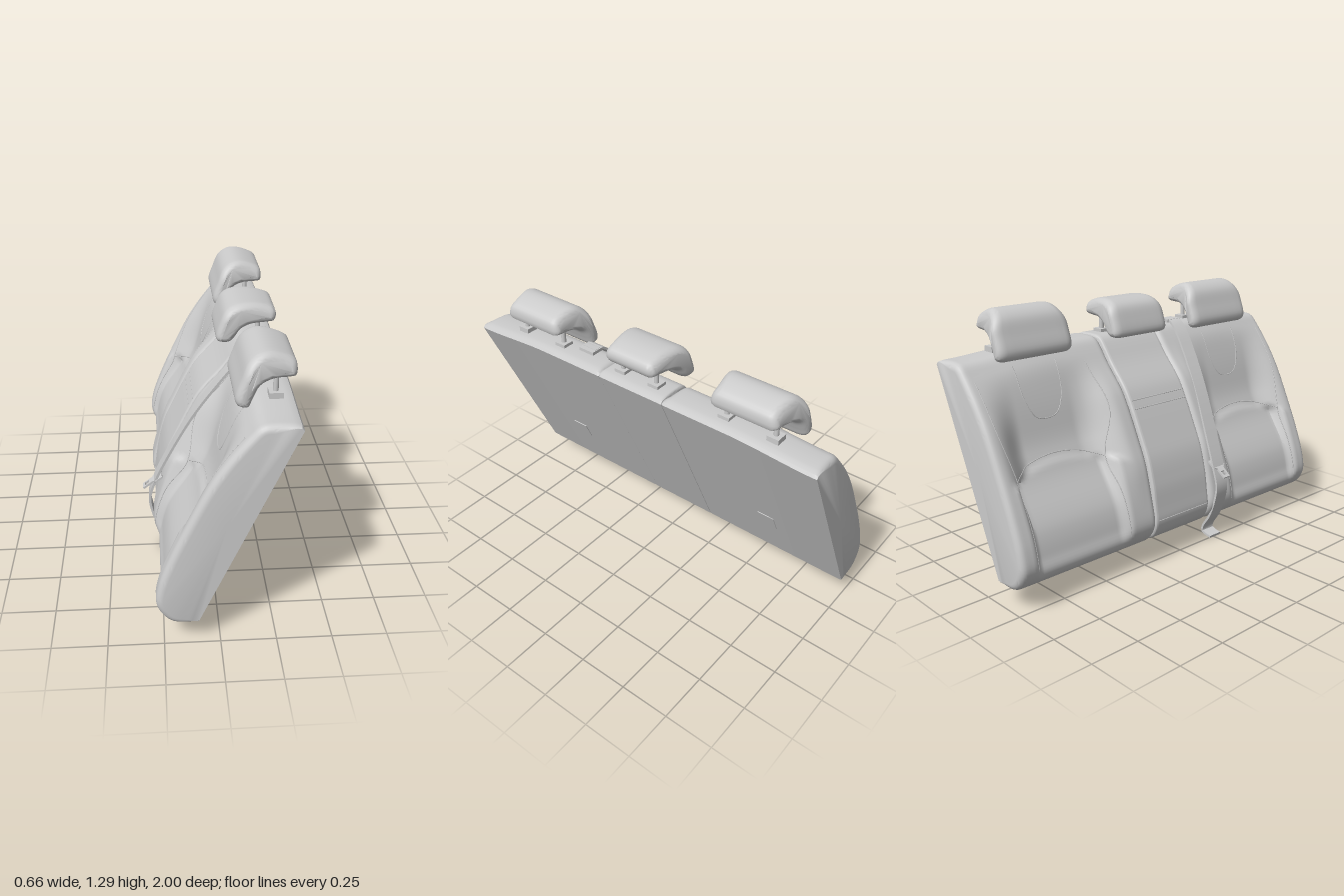
import * as THREE from 'three';
import { toCreasedNormals, mergeVertices } from 'three/addons/utils/BufferGeometryUtils.js';

const mat = new THREE.MeshStandardMaterial({ color: 0xcccccc, side: THREE.DoubleSide, roughness: 0.7 });
const ss = (a, b, v) => THREE.MathUtils.smoothstep(v, a, b);
const V3 = (x, y, z) => new THREE.Vector3(x, y, z);

function add(parent, geo, name) {
  const m = new THREE.Mesh(geo, mat);
  m.name = name;
  parent.add(m);
  return m;
}

// Side profile from the lower back edge, round the front, to the upper back edge
const N = 84;
const profile = new THREE.CatmullRomCurve3([
  [-0.095, 0.118], [-0.13, 0.109], [-0.17, 0.102], [-0.22, 0.115], [-0.26, 0.155], [-0.282, 0.21],
  [-0.27, 0.3], [-0.22, 0.44], [-0.148, 0.6], [-0.048, 0.8], [0.04, 0.935], [0.107, 1.035],
  [0.155, 1.085], [0.21, 1.094], [0.3, 1.09], [0.316, 1.084], [0.325, 1.07],
].map(([x, y]) => V3(x, y, 0)), false, 'centripetal').getSpacedPoints(N);

// How far the upholstery sinks towards the back at a height and width
function recess(y, z) {
  const u = Math.abs(z);
  const forward = 0.026 * ss(0.3, 0.55, y) * (1 - ss(0.82, 1.02, y));
  if (u < 0.19) return 0.012 * (1 - ss(0.25, 0.4, y)) * ss(0.12, 0.2, y) - forward;
  const lower = ss(0.34, 0.41, u) * (1 - ss(0.87, 0.92, u));
  const upper = ss(0.27, 0.48, u) * (1 - ss(0.78, 0.96, u));
  const padTop = 0.635 - 0.8 * (u - 0.63) ** 2;
  const step = ss(padTop - 0.015, padTop + 0.02, y);
  const padDepth = (0.04 + 0.035 * ss(0.35, 0.6, y)) * ss(0.12, 0.26, y);
  const backDepth = 0.085 * (1 - ss(0.68, 1.04, y));
  return -forward * (1 - ss(0.25, 0.42, u)) + lower * padDepth * (1 - step) + upper * backDepth * step;
}

function surface(i, z) {
  const p = profile[i], d = recess(p.y, z);
  const drop = 0.022 * ss(0.55, 1, Math.abs(z)) * ss(0.9, 1.06, p.y);
  return V3(p.x + 0.914 * d, p.y - 0.406 * d - drop, z);
}

// One backrest section: rings along z with rounded ends and flat caps
function section(z0, z1, round) {
  const zs = [], K = 64, R = 5;
  for (let k = 0; k < R; k++) {
    const a = (k / R) * Math.PI / 2;
    zs.push([z0 + round * (1 - Math.cos(a)), 1 - Math.sin(a)]);
  }
  for (let k = 0; k <= K; k++) zs.push([z0 + round + (z1 - z0 - 2 * round) * k / K, 0]);
  for (let k = R - 1; k >= 0; k--) zs.push([z0 + z1 - zs[k][0], zs[k][1]]);
  const axis = new THREE.Line3(V3(-0.12, 0.25, 0), V3(0.2, 1, 0));
  const pos = [], idx = [], M = N + 1, near = V3();
  for (const [z, e] of zs) {
    for (let i = 0; i <= N; i++) {
      const p = surface(i, z);
      p.z = 0;
      axis.closestPointToPoint(p, true, near);
      // the flat back keeps nearly its full width
      const inset = e * round * (0.1 + 0.9 * ss(0, 5, Math.min(i, N - i)));
      p.addScaledVector(near.sub(p).normalize(), inset);
      pos.push(p.x, p.y, z);
    }
  }
  for (let k = 0; k < zs.length - 1; k++) {
    for (let i = 0; i < M; i++) {
      const j = (i + 1) % M, a = k * M + i, b = k * M + j;
      idx.push(a, a + M, b, b, a + M, b + M);
    }
  }
  const c = pos.length / 3, last = (zs.length - 1) * M;
  pos.push(0.02, 0.6, z0, 0.02, 0.6, z1);
  for (let i = 0; i < M; i++) {
    const j = (i + 1) % M;
    idx.push(c, i, j, c + 1, last + j, last + i);
  }
  const g = new THREE.BufferGeometry();
  g.setAttribute('position', new THREE.Float32BufferAttribute(pos, 3));
  g.setIndex(idx);
  return toCreasedNormals(g, 0.6);
}

// Fine piping that follows the front upholstery through [z, y] points
function piping(parent, pts, name) {
  const path = new THREE.CatmullRomCurve3(pts.map(([z, y]) => V3(z, y, 0))).getSpacedPoints(40).map(({ x: z, y }) => {
    let i = 6;
    while (i < N - 1 && surface(i + 1, z).y < y) i++;
    const a = surface(i, z), b = surface(i + 1, z);
    return a.lerp(b, THREE.MathUtils.clamp((y - a.y) / (b.y - a.y || 1), 0, 1));
  });
  add(parent, new THREE.TubeGeometry(new THREE.CatmullRomCurve3(path), 60, 0.0025, 5), name);
}

// Cushion of a head restraint: hooked side profile, tapered to the back and top
function headCushion(width, pts) {
  const shape = new THREE.Shape(new THREE.CatmullRomCurve3(pts.map(([x, y]) => V3(x, y, 0)), true, 'centripetal')
    .getSpacedPoints(56).map(p => new THREE.Vector2(p.x, p.y)));
  const depth = width - 0.09;
  let g = new THREE.ExtrudeGeometry(shape, { depth, steps: 8, bevelThickness: 0.045, bevelSize: 0.028, bevelOffset: -0.028, bevelSegments: 6 });
  g.translate(0, 0, -depth / 2);
  const p = g.attributes.position;
  for (let i = 0; i < p.count; i++) {
    p.setZ(i, p.getZ(i) * (1 - 0.18 * ss(0.1, 0.33, p.getX(i))) * (1 - 0.13 * ss(1.19, 1.29, p.getY(i))));
  }
  g.deleteAttribute('uv');
  g.deleteAttribute('normal');
  g = mergeVertices(g, 1e-4);
  return toCreasedNormals(g, 0.8);
}

const outerHead = [[0.075, 1.07], [0.065, 1.1], [0.09, 1.18], [0.12, 1.25], [0.16, 1.282], [0.2, 1.291], [0.26, 1.28],
  [0.315, 1.252], [0.325, 1.22], [0.32, 1.185], [0.29, 1.18], [0.22, 1.178], [0.17, 1.155], [0.14, 1.1], [0.12, 1.06]];
const middleHead = [[0.045, 1.092], [0.036, 1.11], [0.055, 1.18], [0.085, 1.24], [0.13, 1.265], [0.2, 1.271], [0.27, 1.26],
  [0.315, 1.24], [0.325, 1.21], [0.315, 1.18], [0.28, 1.175], [0.2, 1.17], [0.155, 1.15], [0.125, 1.11], [0.1, 1.088]];

function headRestraint(name, z, width, pts, gap) {
  const g = new THREE.Group();
  g.name = name;
  g.position.z = z;
  add(g, headCushion(width, pts), 'headCushion');
  for (const s of [-1, 1]) {
    add(g, new THREE.CylinderGeometry(0.012, 0.012, 0.13, 16), 'post').position.set(0.24, 1.135, s * gap);
    add(g, new THREE.BoxGeometry(0.06, 0.026, 0.06), 'postSleeve').position.set(0.24, 1.097, s * gap);
  }
  return g;
}

// Flat strap swept along a path, width across z
function strap(points, width, thick) {
  const curve = new THREE.CatmullRomCurve3(points.map(p => V3(...p)), false, 'centripetal');
  const S = 90, pos = [], idx = [];
  for (let k = 0; k <= S; k++) {
    const p = curve.getPointAt(k / S), t = curve.getTangentAt(k / S);
    const n = V3(-t.y, t.x, 0).normalize().multiplyScalar(thick / 2);
    for (const [a, b] of [[1, 1], [1, -1], [-1, -1], [-1, 1]])
      pos.push(p.x + n.x * a, p.y + n.y * a, p.z + b * width / 2);
    if (k < S) for (let i = 0; i < 4; i++) {
      const a = k * 4 + i, b = k * 4 + (i + 1) % 4;
      idx.push(a, b, a + 4, b, b + 4, a + 4);
    }
  }
  const e = S * 4;
  idx.push(0, 2, 1, 0, 3, 2, e, e + 1, e + 2, e, e + 2, e + 3);
  const g = new THREE.BufferGeometry();
  g.setAttribute('position', new THREE.Float32BufferAttribute(pos, 3));
  g.setIndex(idx);
  return toCreasedNormals(g, 0.6);
}

export function createModel() {
  const model = new THREE.Group();
  model.name = 'rearSeatBack';

  // Backrest sections
  add(model, section(-0.1885, 0.1885, 0.014), 'centreBackrest');
  for (const s of [-1, 1]) {
    const [a, b] = s > 0 ? [0.1905, 1] : [-1, -0.1905];
    add(model, section(a, b, 0.032), 'outerBackrest');
    // Piping of the lower pad, the side wings and the panel under the head restraint
    const pipe = (pts, name) => piping(model, pts.map(([z, y]) => [s * z, y]), name);
    pipe([[0.38, 0.575], [0.5, 0.615], [0.63, 0.63], [0.76, 0.615], [0.9, 0.57]], 'padPiping');
    pipe([[0.36, 0.2], [0.365, 0.4], [0.38, 0.575], [0.31, 0.8], [0.34, 1.0]], 'innerWingPiping');
    pipe([[0.9, 0.2], [0.9, 0.4], [0.9, 0.57], [0.94, 0.8], [0.95, 1.0]], 'outerWingPiping');
    pipe([[0.5, 1.03], [0.515, 0.88], [0.56, 0.8], [0.62, 0.785], [0.68, 0.8], [0.725, 0.88], [0.74, 1.03]], 'headPanelPiping');
    model.add(headRestraint('outerHeadRestraint', s * 0.62, 0.42, outerHead, 0.127));
    // Release cover on the back panel
    const cover = add(model, new THREE.BoxGeometry(0.004, 0.1, 0.09), 'releaseCover');
    cover.position.set(0.031, 0.4, s * 0.62);
    cover.rotation.z = -0.418;
  }
  for (const y of [0.22, 0.76, 0.8]) piping(model, [[-0.175, y], [0, y], [0.175, y]], 'armrestPiping');
  model.add(headRestraint('middleHeadRestraint', 0.004, 0.355, middleHead, 0.1));

  // Seat belt with its guide and buckle tongue
  add(model, strap([[0.21, 1.108, 0.35], [0.16, 1.103, 0.35], [0.105, 1.06, 0.342], [0.018, 0.945, 0.325], [-0.083, 0.79, 0.3],
    [-0.193, 0.58, 0.27], [-0.27, 0.41, 0.252], [-0.3, 0.31, 0.25], [-0.29, 0.23, 0.25], [-0.25, 0.13, 0.255],
    [-0.2, 0.055, 0.26], [-0.195, 0.028, 0.26], [-0.21, 0.018, 0.26], [-0.255, 0.007, 0.26]], 0.078, 0.012), 'beltStrap');
  add(model, new THREE.BoxGeometry(0.07, 0.016, 0.09), 'beltGuide').position.set(0.2, 1.104, 0.35);
  const tongue = new THREE.Shape([[-0.06, -0.022], [0.0, -0.022], [0.015, -0.042], [0.06, -0.042], [0.06, 0.042], [0.015, 0.042],
    [0, 0.022], [-0.06, 0.022]].map(p => new THREE.Vector2(...p)));
  tongue.holes.push(new THREE.Path([[-0.045, -0.012], [-0.045, 0.012], [-0.02, 0.012], [-0.02, -0.012]].map(p => new THREE.Vector2(...p))));
  const tg = new THREE.ExtrudeGeometry(tongue, { depth: 0.01, bevelEnabled: false });
  tg.rotateX(-Math.PI / 2);
  const buckle = add(model, tg, 'buckleTongue');
  buckle.position.set(-0.281, 0.392, 0.255);
  buckle.rotation.z = 0.65;
  return model;
}
